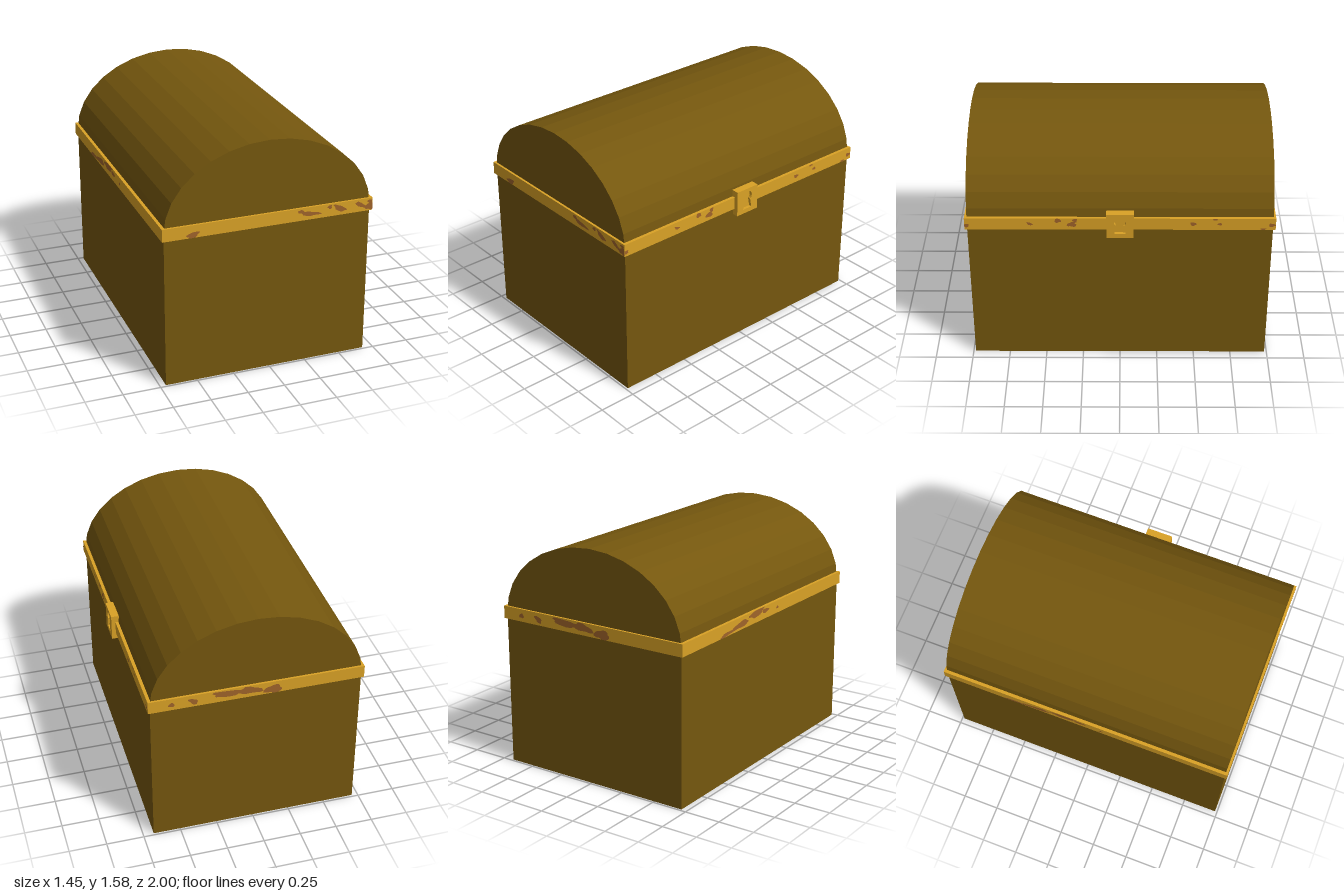
import * as THREE from 'three';

const wood = new THREE.MeshStandardMaterial({ color: 0x75570e });
wood.name = 'dark wood';
const brass = new THREE.MeshStandardMaterial({ color: 0xdaa226 });
brass.name = 'brass';
const rust = new THREE.MeshStandardMaterial({ color: 0xa0642a });
rust.name = 'rust';

const CX = -0.015; // chest centre in x; the lock sticks out on +x
const BAND = { halfX: 0.71, halfZ: 1, bottom: 1.015, top: 1.1 };

function add(parent, name, geometry, material, x = 0, y = 0, z = 0) {
  const mesh = new THREE.Mesh(geometry, material);
  mesh.name = name;
  mesh.position.set(x, y, z);
  parent.add(mesh);
  return mesh;
}

// Barrel lid: half ellipse of 16 flat strips along z
function lidGeometry() {
  const shape = new THREE.Shape();
  for (let i = 0; i <= 16; i++) {
    const a = (i / 16) * Math.PI;
    const x = 0.695 * Math.cos(a), y = 0.53 * Math.sin(a);
    i ? shape.lineTo(x, y) : shape.moveTo(x, y);
  }
  shape.closePath();
  return new THREE.ExtrudeGeometry(shape, { depth: 1.97, bevelEnabled: false }).translate(0, 0, -0.985);
}

// Ragged rust spot, kept inside the band's height; u runs to the viewer's right
function rustGeometry(u, y, w, h, tilt, seed, halfWidth) {
  const points = [];
  for (let i = 0; i < 16; i++) {
    const a = (i / 16) * Math.PI * 2;
    const r = 1 + 0.16 * Math.sin(3 * a + seed) + 0.1 * Math.sin(5 * a + 2 * seed);
    const du = (w / 2) * r * Math.cos(a);
    points.push(new THREE.Vector2(
      THREE.MathUtils.clamp(u + du, -halfWidth, halfWidth),
      THREE.MathUtils.clamp(y + (h / 2) * r * Math.sin(a) + du * tilt, BAND.bottom, BAND.top)));
  }
  return new THREE.ShapeGeometry(new THREE.Shape(points));
}

// Lock: a back plate and a front plate with a keyhole cut out
function makeLock() {
  const lock = new THREE.Group();
  lock.name = 'lock';
  const w = 0.088, h = 0.0875;
  const plate = new THREE.Shape([[-w, -h], [w, -h], [w, h], [-w, h]].map(p => new THREE.Vector2(...p)));
  const hole = new THREE.Path();
  hole.moveTo(-0.036, -0.058);
  hole.lineTo(0.036, -0.058);
  hole.lineTo(0.024, 0.005);
  hole.absarc(0, 0.03, 0.038, -0.75, Math.PI + 0.75, false);
  hole.closePath();
  plate.holes.push(hole);
  const front = new THREE.ExtrudeGeometry(plate, { depth: 0.02, bevelEnabled: false, curveSegments: 8 });
  add(lock, 'lockFrontPlate', front.rotateY(Math.PI / 2), brass, 0.702);
  add(lock, 'lockBackPlate', new THREE.BoxGeometry(0.032, 2 * h, 2 * w), brass, 0.686);
  lock.position.y = 1.0575;
  return lock;
}

export function createModel() {
  const chest = new THREE.Group();
  chest.name = 'chest';

  add(chest, 'body', new THREE.BoxGeometry(1.39, 1.055, 1.97), wood, CX, 0.5275);
  add(chest, 'lid', lidGeometry(), wood, CX, 1.055);
  add(chest, 'band',
    new THREE.BoxGeometry(2 * BAND.halfX, BAND.top - BAND.bottom, 2 * BAND.halfZ),
    brass, CX, (BAND.top + BAND.bottom) / 2);
  chest.add(makeLock());

  // Rust spots per side: [u, y, width, height, tilt]
  const sides = [
    { name: 'front', turn: 0, out: BAND.halfZ, half: BAND.halfX, spots: [
      [-0.51, 1.035, 0.08, 0.04, 0.2], [0.28, 1.055, 0.13, 0.028, -0.1], [0.215, 1.075, 0.05, 0.025, -0.3],
      [0.41, 1.08, 0.03, 0.025, 0], [0.48, 1.062, 0.085, 0.04, -0.4], [0.63, 1.06, 0.09, 0.03, -0.5],
      [0.69, 1.045, 0.06, 0.05, 0], [0.69, 1.08, 0.035, 0.02, 0]] },
    { name: 'right', turn: Math.PI / 2, out: BAND.halfX, half: BAND.halfZ, spots: [
      [-0.99, 1.045, 0.04, 0.025, 0], [-0.58, 1.06, 0.04, 0.02, -0.3], [-0.4, 1.085, 0.04, 0.035, 0],
      [-0.31, 1.055, 0.06, 0.035, 0], [-0.29, 1.085, 0.03, 0.03, 0], [0.47, 1.06, 0.04, 0.025, 0],
      [0.61, 1.097, 0.03, 0.02, 0], [0.64, 1.06, 0.03, 0.018, 0], [0.92, 1.022, 0.035, 0.015, 0],
      [0.975, 1.052, 0.045, 0.025, 0]] },
    { name: 'back', turn: Math.PI, out: BAND.halfZ, half: BAND.halfX, spots: [
      [-0.56, 1.055, 0.04, 0.03, 0], [-0.42, 1.055, 0.06, 0.04, -0.4], [-0.19, 1.07, 0.22, 0.045, -0.05],
      [-0.05, 1.065, 0.16, 0.05, -0.1], [0.1, 1.045, 0.12, 0.06, 0]] },
    { name: 'left', turn: -Math.PI / 2, out: BAND.halfX, half: BAND.halfZ, spots: [
      [-0.5, 1.03, 0.16, 0.025, 0.1], [-0.34, 1.05, 0.2, 0.04, 0.1], [-0.14, 1.08, 0.18, 0.05, 0.1],
      [-0.03, 1.07, 0.08, 0.03, 0], [0.12, 1.055, 0.03, 0.02, 0]] },
  ];
  sides.forEach(({ name, turn, out, half, spots }, s) => {
    const group = new THREE.Group();
    group.name = name + 'Rust';
    group.position.x = CX;
    group.rotation.y = turn;
    spots.forEach(([u, y, w, h, tilt], i) =>
      add(group, 'rustSpot', rustGeometry(u, y, w, h, tilt, s * 5 + i * 1.7, half), rust, 0, 0, out + 0.002));
    chest.add(group);
  });
  return chest;
}
